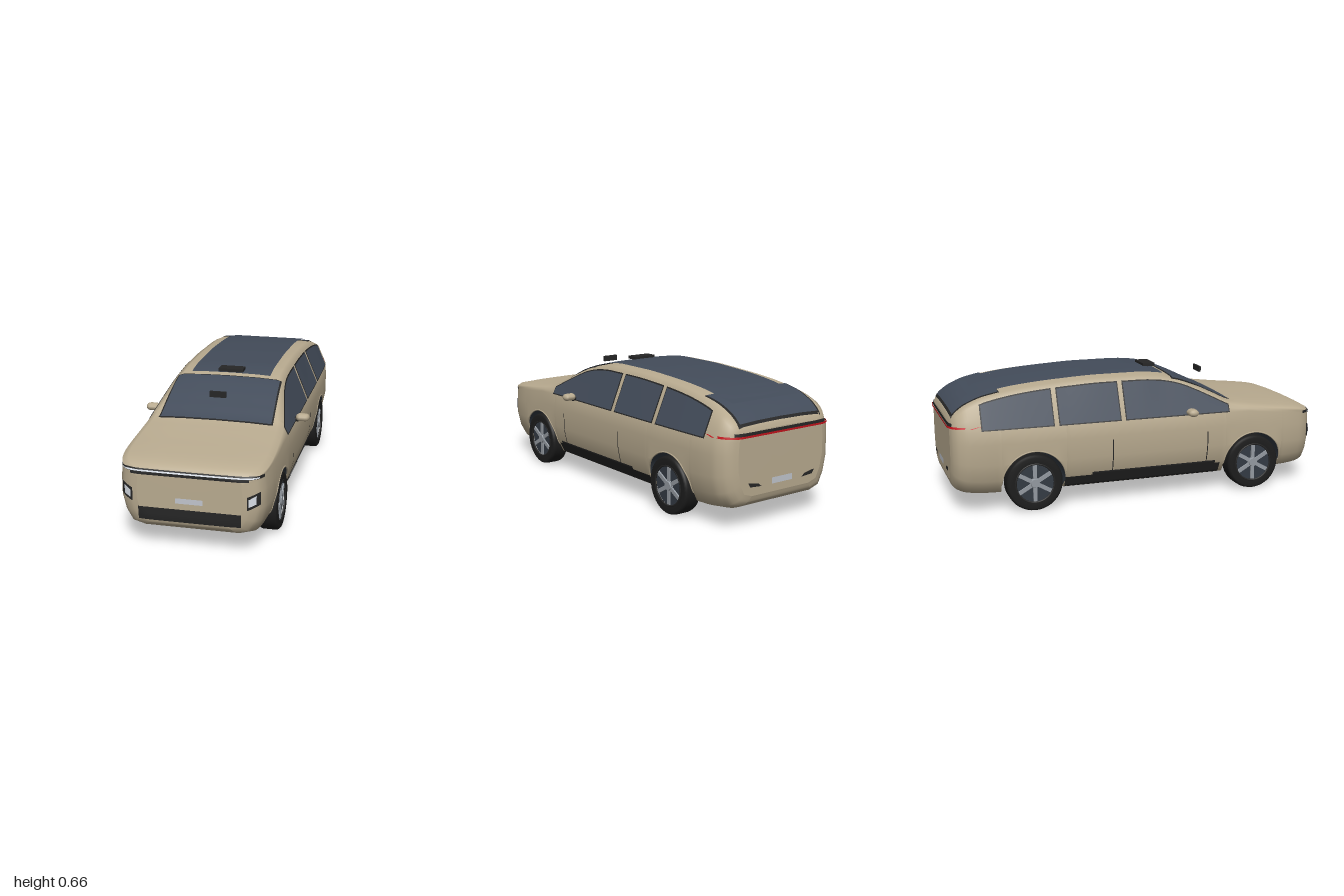
import * as THREE from 'three';

const paint = (name, color) => Object.assign(new THREE.MeshStandardMaterial({ color }), { name });
const sheet = (name, color) => Object.assign(paint(name, color), { side: THREE.DoubleSide });

// Body stations: z, underside height, top height, half width
const KEYS = [
  [-0.985, 0.16, 0.47, 0.27], [-0.975, 0.13, 0.495, 0.3], [-0.95, 0.108, 0.522, 0.332], [-0.9, 0.092, 0.556, 0.355],
  [-0.8, 0.083, 0.593, 0.365], [-0.6, 0.08, 0.625, 0.369], [-0.4, 0.08, 0.64, 0.37], [-0.2, 0.08, 0.648, 0.37],
  [0, 0.08, 0.648, 0.37], [0.1, 0.08, 0.641, 0.37], [0.2, 0.08, 0.622, 0.37], [0.3, 0.08, 0.583, 0.37],
  [0.4, 0.08, 0.535, 0.37], [0.5, 0.08, 0.49, 0.37], [0.6, 0.08, 0.474, 0.369], [0.7, 0.081, 0.461, 0.368],
  [0.8, 0.084, 0.45, 0.364], [0.9, 0.092, 0.437, 0.35], [0.95, 0.106, 0.425, 0.328], [0.98, 0.135, 0.407, 0.285],
  [0.988, 0.16, 0.39, 0.25]];
const Z0 = KEYS[0][0], Z1 = KEYS[KEYS.length - 1][0];
const AXLES = [-0.58, 0.62], ARCH = 0.165, HUB = 0.147;

// Monotone cubic through column k of the stations
function profile(z, k) {
  const n = KEYS.length - 1;
  const slope = i => (KEYS[i + 1][k] - KEYS[i][k]) / (KEYS[i + 1][0] - KEYS[i][0]);
  const tangent = i => {
    if (i === 0) return slope(0);
    if (i === n) return slope(n - 1);
    const a = slope(i - 1), b = slope(i);
    return a * b > 0 ? 2 * a * b / (a + b) : 0;
  };
  let i = 0;
  while (i < n - 1 && z > KEYS[i + 1][0]) i++;
  const h = KEYS[i + 1][0] - KEYS[i][0], t = THREE.MathUtils.clamp((z - KEYS[i][0]) / h, 0, 1);
  const t2 = t * t, t3 = t2 * t;
  return (2 * t3 - 3 * t2 + 1) * KEYS[i][k] + (t3 - 2 * t2 + t) * h * tangent(i)
    + (3 * t2 - 2 * t3) * KEYS[i + 1][k] + (t3 - t2) * h * tangent(i + 1);
}

// Half section from the sill up to the roof centre
function section(z) {
  const b = profile(z, 1), t = profile(z, 2), w = profile(z, 3);
  const H = Math.min(0.43, t - 0.045), d = H - b;
  const E = w * (0.985 - 0.22 * THREE.MathUtils.clamp((t - 0.44) / 0.2, 0, 1));
  return [[0.68 * w, b], [0.86 * w, b + 0.06 * d], [0.95 * w, b + 0.25 * d], [w, b + 0.5 * d], [w, b + 0.8 * d],
    [0.985 * w, H], [(0.985 * w + E) / 2, (H + t - 0.022) / 2], [E, t - 0.022], [E - 0.03, t - 0.008],
    [E * 0.5, t - 0.002], [0, t]];
}
function sideX(z, y) {
  const p = section(z);
  let i = 0;
  while (i < p.length - 2 && y > p[i + 1][1]) i++;
  const f = THREE.MathUtils.clamp((y - p[i][1]) / (p[i + 1][1] - p[i][1]), 0, 1);
  return p[i][0] + f * (p[i + 1][0] - p[i][0]);
}
function topY(z, x) {
  const p = section(z), a = Math.abs(x);
  let i = 5;
  while (i < p.length - 2 && a < p[i + 1][0]) i++;
  const f = THREE.MathUtils.clamp((a - p[i][0]) / (p[i + 1][0] - p[i][0]), 0, 1);
  return p[i][1] + f * (p[i + 1][1] - p[i][1]);
}
// Furthest z of the nose (dir 1) or tail (dir -1) at a given x, y
function endZ(x, y, dir) {
  const inside = z => y >= profile(z, 1) && y <= profile(z, 2) && Math.abs(x) <= sideX(z, y);
  let lo = 0.6 * dir, hi = dir > 0 ? Z1 : Z0;
  if (inside(hi)) return hi;
  for (let i = 0; i < 24; i++) {
    const m = (lo + hi) / 2;
    if (inside(m)) lo = m; else hi = m;
  }
  return lo;
}

// Surface through rows of points
function grid(rows) {
  const n = rows[0].length, index = [];
  for (let i = 0; i < rows.length - 1; i++) for (let j = 0; j < n - 1; j++) {
    const a = i * n + j, c = a + n;
    index.push(a, c, a + 1, a + 1, c, c + 1);
  }
  const g = new THREE.BufferGeometry();
  g.setAttribute('position', new THREE.Float32BufferAttribute(rows.flat(2), 3));
  g.setIndex(index);
  g.computeVertexNormals();
  return g;
}
const steps = (n, f) => Array.from({ length: n + 1 }, (_, i) => f(i / n));
const patch = (f, nu, nv) => grid(steps(nu, u => steps(nv, v => f(u, v))));
const mix = THREE.MathUtils.lerp;

export function createModel() {
  const car = new THREE.Group();
  car.name = 'car';
  const body = paint('body paint', 0xb9ab90), glass = sheet('glass', 0x434c5a), trim = sheet('black trim', 0x262626);
  const tyre = paint('tyre rubber', 0x1d1d1d), alloy = paint('alloy', 0x959ba2), lamp = sheet('white lamp', 0xe0e6ee);
  const red = sheet('red lamp', 0xc0141c), plate = sheet('plate', 0xc2c6ce), well = sheet('wheel well', 0x343b44);
  const add = (name, geo, mat, parent = car) => {
    const m = new THREE.Mesh(geo, mat);
    m.name = name;
    parent.add(m);
    return m;
  };

  // Body stations, doubled where a wheel arch starts and ends
  const stations = [];
  const run = (n, f) => steps(n, f).forEach(z => stations.push([z, 0]));
  const arch = c => steps(28, u => {
    const a = Math.PI * (1 - u);
    stations.push([c + ARCH * Math.cos(a), HUB + ARCH * Math.sin(a)]);
  });
  run(22, u => mix(Z0, AXLES[0] - ARCH, u * u));
  arch(AXLES[0]);
  run(40, u => mix(AXLES[0] + ARCH, AXLES[1] - ARCH, u));
  arch(AXLES[1]);
  run(22, u => mix(Z1, AXLES[1] + ARCH, (1 - u) * (1 - u)));

  const skin = stations.map(([z, a]) => {
    const half = section(z).map(([x, y]) => (y < a ? [sideX(z, a), a, z] : [x, y, z]));
    return [...half.map(([x, y, q]) => [-x, y, q]), ...half.slice(0, -1).reverse()];
  });
  const floor = stations.map(([z]) => {
    const [x, y] = section(z)[0];
    return [[x, y, z], [0, y, z], [-x, y, z]];
  });
  for (const rows of [skin, floor]) {
    const cap = z => rows[0].map(() => [0, (profile(z, 1) + profile(z, 2)) / 2, z]);
    rows.unshift(cap(Z0));
    rows.push(cap(Z1));
  }
  add('bodyShell', grid(skin), body);
  add('underside', grid(floor), body);

  // Panels that hug the sides, the top and the two ends
  const sidePanel = (name, mat, za, zb, low, high, off) => [1, -1].forEach(s => add(name, patch((u, v) => {
    const z = mix(za, zb, u), y = mix(low(z), high(z), v);
    return [s * (sideX(z, y) + off), y, z];
  }, 16, 8), mat));
  const topPanel = (name, mat, za, zb, xa, xb, off) => add(name, patch((u, v) => {
    const z = mix(za, zb, u), x = mix(xa, xb, u) * (2 * v - 1);
    return [x, topY(z, x) + off, z];
  }, 24, 20), mat);
  const endPanel = (name, mat, dir, corners, off, n = 24) => add(name, patch((u, v) => {
    const [a, b, c, d] = corners;
    const x = mix(mix(a[0], b[0], u), mix(d[0], c[0], u), v), y = mix(mix(a[1], b[1], u), mix(d[1], c[1], u), v);
    return [x, y, endZ(x, y, dir) + dir * off];
  }, n, 4), mat);
  const bar = (x, y0, y1) => [[-x, y0], [x, y0], [x, y1], [-x, y1]];

  // Glass
  for (const [za, zb] of [[0.47, -0.095], [-0.13, -0.445], [-0.48, -0.835]]) {
    sidePanel('windowFrame', trim, za + 0.006, zb - 0.006, () => 0.432, z => profile(z, 2) - 0.025, 0.002);
    sidePanel('sideWindow', glass, za, zb, () => 0.438, z => profile(z, 2) - 0.031, 0.004);
  }
  topPanel('windshieldFrame', trim, 0.505, 0.178, 0.292, 0.276, 0.003);
  topPanel('windshield', glass, 0.497, 0.188, 0.284, 0.268, 0.006);
  topPanel('rearWindowFrame', trim, -0.73, -0.974, 0.265, 0.262, 0.003);
  topPanel('rearWindow', glass, -0.735, -0.966, 0.255, 0.25, 0.006);
  topPanel('roofGlass', glass, 0.155, -0.7, 0.21, 0.21, 0.007);
  add('rearSpoiler', patch((u, v) => {
    const x = 0.21 * (2 * v - 1);
    return [x, mix(topY(-0.7, x) + 0.007, 0.581, u), mix(-0.7, -0.87, u)];
  }, 4, 8), glass);

  // Sills and door gaps
  sidePanel('sill', trim, 0.43, -0.42, () => 0.088, () => 0.158, 0.005);
  sidePanel('sillStep', trim, 0.4, -0.28, () => 0.15, () => 0.175, 0.007);
  sidePanel('doorGap', trim, 0.352, 0.347, () => 0.09, () => 0.34, 0.004);
  sidePanel('doorGap', trim, -0.169, -0.174, () => 0.09, () => 0.34, 0.004);

  // Nose
  endPanel('lightBarSurround', trim, 1, bar(0.34, 0.386, 0.401), 0.003, 40);
  endPanel('noseSlot', trim, 1, bar(0.28, 0.374, 0.39), 0.004);
  endPanel('frontLightBar', lamp, 1, bar(0.325, 0.389, 0.396), 0.007, 40);
  endPanel('lowerGrille', trim, 1, bar(0.245, 0.15, 0.215), 0.005);
  endPanel('frontPlate', plate, 1, bar(0.065, 0.245, 0.271), 0.006);
  for (const s of [1, -1]) {
    endPanel('headlightSurround', trim, 1,
      [[s * 0.33, 0.262], [s * 0.272, 0.237], [s * 0.272, 0.303], [s * 0.33, 0.325]], 0.005, 10);
    endPanel('headlight', lamp, 1,
      [[s * 0.314, 0.268], [s * 0.28, 0.255], [s * 0.28, 0.293], [s * 0.314, 0.31]], 0.009, 10);
    endPanel('rearVent', trim, -1,
      [[s * 0.13, 0.2], [s * 0.2, 0.205], [s * 0.215, 0.228], [s * 0.15, 0.216]], 0.005, 8);
  }
  // Tail
  endPanel('tailSurround', trim, -1, bar(0.29, 0.448, 0.466), 0.004, 40);
  endPanel('tailLightBar', red, -1, bar(0.348, 0.443, 0.453), 0.01, 50);
  endPanel('rearPlate', plate, -1, bar(0.065, 0.2, 0.23), 0.006);

  // Roof sensor and interior mirror
  add('roofSensor', new THREE.BoxGeometry(0.13, 0.016, 0.066), trim).position.set(0, 0.652, 0.13);
  add('interiorMirror', new THREE.BoxGeometry(0.084, 0.03, 0.012), trim).position.set(0, 0.605, 0.437);

  // Door mirrors
  for (const s of [1, -1]) {
    const shell = new THREE.CylinderGeometry(0.02, 0.026, 0.016, 10);
    const mirror = new THREE.Group();
    mirror.name = 'doorMirror';
    mirror.position.set(s * 0.4, 0.454, 0.25);
    add('mirrorShell', new THREE.CapsuleGeometry(0.02, 0.03, 4, 10).rotateZ(Math.PI / 2).scale(1, 1, 1.4), body, mirror);
    add('mirrorArm', shell.rotateZ(Math.PI / 2).scale(1.6, 0.5, 0.6), trim, mirror).position.set(-s * 0.034, -0.012, 0);
    car.add(mirror);
  }

  // Wheel wells, arch lips and wheels
  const tyreProfile = [[0.1, -0.046], [0.132, -0.049], [0.142, -0.042], [0.145, -0.03], [0.145, 0.03], [0.142, 0.042],
    [0.132, 0.049], [0.1, 0.046]].map(p => new THREE.Vector2(...p));
  for (const c of AXLES) {
    const rim = steps(28, u => [c - ARCH * Math.cos(Math.PI * u), HUB + ARCH * Math.sin(Math.PI * u)]);
    const outline = [[c - ARCH, 0.086], ...rim, [c + ARCH, 0.086]];
    add('wheelWell', grid(outline.map(([z, y]) => {
      const x = sideX(z, y) - 0.002;
      return [[-x, y, z], [x, y, z]];
    })), well);
    for (const s of [1, -1]) {
      const lip = rim.map(([z, y]) => new THREE.Vector3(s * (sideX(z, y) - 0.001), y, z));
      add('archLip', new THREE.TubeGeometry(new THREE.CatmullRomCurve3(lip), 40, 0.004, 6), body);

      const wheel = new THREE.Group();
      wheel.name = 'wheel';
      wheel.position.set(s * 0.319, 0.145, c);
      wheel.rotation.z = -s * Math.PI / 2;
      add('tyre', new THREE.LatheGeometry(tyreProfile, 40), tyre, wheel);
      add('wheelDisc', new THREE.CylinderGeometry(0.101, 0.101, 0.07, 32), well, wheel);
      add('rimRing', new THREE.TorusGeometry(0.1, 0.005, 6, 36).rotateX(Math.PI / 2), trim, wheel).position.y = 0.044;
      add('hub', new THREE.CylinderGeometry(0.022, 0.027, 0.014, 16), alloy, wheel).position.y = 0.041;
      for (let i = 0; i < 6; i++) {
        const spoke = add('spoke', new THREE.BoxGeometry(0.08, 0.01, 0.02).translate(0.058, 0.038, 0), alloy, wheel);
        spoke.rotation.y = i * Math.PI / 3;
      }
      car.add(wheel);
    }
  }
  return car;
}
